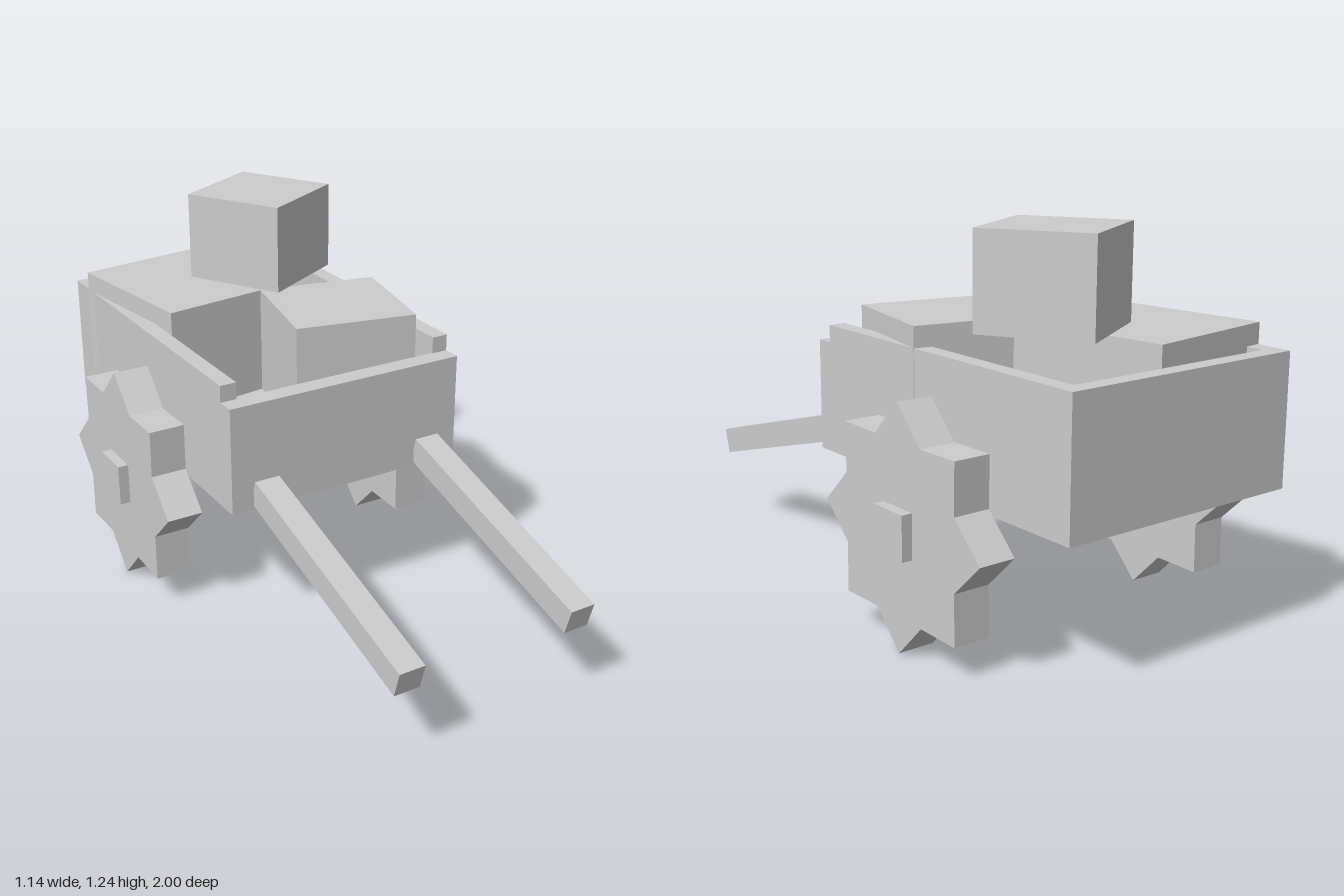
import * as THREE from 'three';

const wood = new THREE.MeshStandardMaterial({ color: 0xcccccc });
wood.name = 'plain grey';
wood.flatShading = true;

function box(name, size, pos, rot = [0, 0, 0]) {
  const mesh = new THREE.Mesh(new THREE.BoxGeometry(...size), wood);
  mesh.name = name;
  mesh.position.set(...pos);
  mesh.rotation.set(...rot);
  return mesh;
}

// Cart body: an open tray with a lower front wall, as stepped solids
function createBody() {
  const body = new THREE.Group();
  body.name = 'cartBody';
  const outline = new THREE.Shape();
  outline.moveTo(-0.415, -0.19).lineTo(0.415, -0.19).lineTo(0.415, 1).lineTo(-0.415, 1).closePath();
  const hole = new THREE.Path();
  hole.moveTo(-0.36, -0.125).lineTo(-0.36, 0.945).lineTo(0.36, 0.945).lineTo(0.36, -0.125).closePath();
  outline.holes.push(hole);
  const walls = new THREE.Mesh(new THREE.ExtrudeGeometry(outline, { depth: 0.355, bevelEnabled: false }), wood);
  walls.name = 'walls';
  walls.rotation.x = -Math.PI / 2;
  walls.position.y = 0.47;

  // Raised rim on the sides and back, open at the front
  const rimShape = new THREE.Shape();
  rimShape.moveTo(-0.415, -0.13).lineTo(-0.36, -0.13).lineTo(-0.36, 0.945).lineTo(0.36, 0.945)
    .lineTo(0.36, -0.13).lineTo(0.415, -0.13).lineTo(0.415, 1).lineTo(-0.415, 1).closePath();
  const rim = new THREE.Mesh(new THREE.ExtrudeGeometry(rimShape, { depth: 0.055, bevelEnabled: false }), wood);
  rim.name = 'raisedRim';
  rim.rotation.x = -Math.PI / 2;
  rim.position.y = 0.825;

  body.add(walls, rim, box('floor', [0.72, 0.1, 1.07], [0, 0.52, -0.41]));
  return body;
}

// Eight-pointed wheel with a square hub
function createWheel(side) {
  const wheel = new THREE.Group();
  wheel.name = side > 0 ? 'leftWheel' : 'rightWheel';
  const points = [];
  for (let i = 0; i < 16; i++) {
    const r = i % 2 ? 0.287 : 0.378;
    const a = (i * Math.PI) / 8;
    points.push(new THREE.Vector2(r * Math.cos(a), r * Math.sin(a)));
  }
  const geometry = new THREE.ExtrudeGeometry(new THREE.Shape(points), { depth: 0.12, bevelEnabled: false });
  geometry.translate(0, 0, -0.06).rotateY(Math.PI / 2);
  const disc = new THREE.Mesh(geometry, wood);
  disc.name = 'wheelDisc';
  wheel.add(disc, box('hub', [0.19, 0.14, 0.14], [0, 0, 0]));
  wheel.position.set(side * 0.475, 0.378, -0.405);
  return wheel;
}

export function createModel() {
  const cart = new THREE.Group();
  cart.name = 'handcart';
  cart.add(createBody());

  for (const side of [-1, 1]) {
    cart.add(createWheel(side));
    cart.add(box(side > 0 ? 'leftHandle' : 'rightHandle',
      [0.085, 0.087, 0.83], [side * 0.298, 0.4155, 0.588], [0.274, 0, 0]));
  }

  // Loose crates, two in the tray and one stacked on top
  cart.add(
    box('backCrate', [0.47, 0.365, 0.535], [-0.15, 0.7625, -0.6475], [0, 0.139, 0]),
    box('frontCrate', [0.41, 0.365, 0.4], [0.175, 0.7625, -0.17], [0, -0.205, 0]),
    box('topCrate', [0.352, 0.295, 0.354], [0.1175, 1.0925, -0.588], [0, 0.524, 0]),
  );
  return cart;
}
